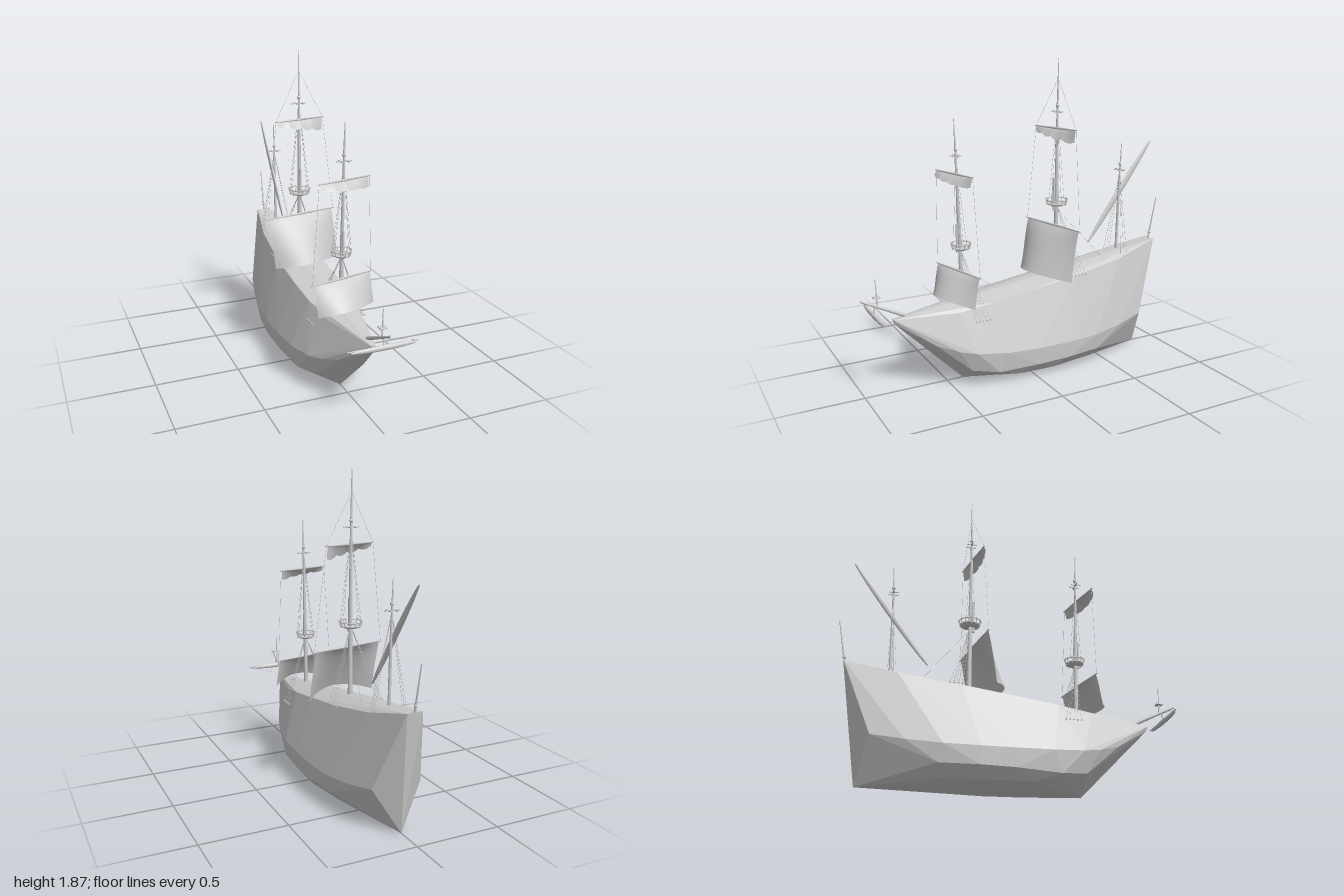
import * as THREE from 'three';
import { ConvexGeometry } from 'three/addons/geometries/ConvexGeometry.js';

const V = (x, y, z) => new THREE.Vector3(x, y, z);

export function createModel() {
  const ship = new THREE.Group();
  ship.name = 'sailingShip';
  const grey = new THREE.MeshStandardMaterial({ color: 0xcccccc, side: THREE.DoubleSide });
  grey.name = 'paleGrey';
  const hullGrey = grey;

  const add = (name, geometry, parent = ship) => {
    const mesh = new THREE.Mesh(geometry, grey);
    mesh.name = name;
    parent.add(mesh);
    return mesh;
  };
  // Tapered rod between two points
  const rod = (name, a, b, ra, rb = ra, sides = 8, parent = ship) => {
    const d = b.clone().sub(a);
    const mesh = add(name, new THREE.CylinderGeometry(rb, ra, d.length(), sides), parent);
    mesh.position.copy(a).addScaledVector(d, 0.5);
    mesh.quaternion.setFromUnitVectors(V(0, 1, 0), d.normalize());
    return mesh;
  };
  const rope = (a, b, r = 0.0009) => rod('rope', a, b, r, r, 3);
  // Yard: thick in the middle, thin at both ends
  const yard = (name, a, b, r) => {
    const mid = a.clone().lerp(b, 0.5);
    rod(name, mid, a, r, r * 0.5);
    rod(name, mid, b, r, r * 0.5);
  };

  // Faceted closed hull: half-section points mirrored across the keel
  const half = [
    [0, 0, 0.4], [0, 0, -0.84], [0.012, 0.44, 0.82], [0.008, 0.41, 0.81],
    [0.045, 0.7, -0.95], [0.045, 0.67, -0.945],
    // widest line
    [0.105, 0.275, 0.6], [0.16, 0.235, 0.48], [0.195, 0.215, 0.38], [0.228, 0.2, 0.2],
    [0.24, 0.195, 0], [0.241, 0.195, -0.2], [0.23, 0.2, -0.4], [0.195, 0.22, -0.6],
    [0.148, 0.25, -0.78],
    // bilge
    [0.15, 0.1, 0.4], [0.205, 0.08, 0.25], [0.232, 0.09, 0], [0.234, 0.095, -0.2], [0.21, 0.1, -0.42],
    [0.18, 0.032, 0.1], [0.185, 0.03, -0.12], [0.15, 0.035, -0.4], [0.09, 0.012, 0], [0.09, 0.012, -0.2],
    // upper side and deck edge
    [0.105, 0.45, 0.45], [0.135, 0.49, 0.25], [0.14, 0.525, 0], [0.135, 0.565, -0.3], [0.105, 0.625, -0.65],
  ];
  const points = [];
  for (const [x, y, z] of half) {
    points.push(V(x, y, z));
    if (x) points.push(V(-x, y, z));
  }
  add('hull', new ConvexGeometry(points)).material = hullGrey;

  // Railed lookout platform
  const lookout = (y, z, r) => {
    const group = new THREE.Group();
    group.name = 'lookout';
    group.position.set(0, y, z);
    ship.add(group);
    add('lookoutFloor', new THREE.CylinderGeometry(r * 0.85, r * 0.6, 0.012, 16), group).position.y = -0.015;
    for (const [h, k] of [[-0.008, 0.88], [0.015, 1]]) {
      const ring = add('lookoutRail', new THREE.TorusGeometry(r * k, 0.0035, 5, 20), group);
      ring.rotation.x = Math.PI / 2;
      ring.position.y = h;
    }
    for (let i = 0; i < 12; i++) {
      const a = i * Math.PI / 6, c = Math.cos(a) * r, s = Math.sin(a) * r;
      rod('lookoutPost', V(c * 0.86, -0.018, s * 0.86), V(c, 0.022, s), 0.003, 0.003, 5, group);
    }
  };
  // Small cross pieces high on a mast
  const crosstree = (y, z, w) => {
    add('crosstree', new THREE.BoxGeometry(w * 2, 0.006, 0.008)).position.set(0, y, z);
    for (const s of [-1, 1]) add('crosstree', new THREE.BoxGeometry(0.006, 0.006, w * 1.3)).position.set(s * w * 0.4, y, z);
    add('mastCap', new THREE.SphereGeometry(0.011, 8, 6)).position.set(0, y + 0.035, z);
  };
  // Masts as stacked sections [y, z, radius]
  const mast = (name, steps) => {
    for (let i = 0; i + 1 < steps.length; i++) {
      const [y0, z0, r0] = steps[i], [y1, z1, r1] = steps[i + 1];
      rod(name, V(0, y0, z0), V(0, y1, z1), r0, r1, 10);
    }
  };
  mast('foreMast', [[0.42, 0.392, 0.013], [0.86, 0.402, 0.011], [1.25, 0.415, 0.007], [1.37, 0.418, 0.006], [1.55, 0.425, 0.002]]);
  mast('mainMast', [[0.52, -0.238, 0.014], [1.06, -0.24, 0.012], [1.45, -0.241, 0.008], [1.6, -0.242, 0.006], [1.87, -0.246, 0.002]]);
  mast('mizzenMast', [[0.6, -0.688, 0.009], [1.0, -0.697, 0.008], [1.18, -0.703, 0.005], [1.34, -0.71, 0.002]]);
  // Doubled mast sections above the platforms
  rod('foreDoubling', V(0, 0.78, 0.418), V(0, 0.95, 0.42), 0.007);
  rod('mainDoubling', V(0, 0.96, -0.222), V(0, 1.16, -0.222), 0.008);
  lookout(0.815, 0.395, 0.058);
  lookout(1.01, -0.242, 0.066);
  crosstree(1.34, 0.417, 0.045);
  crosstree(1.555, -0.242, 0.045);
  crosstree(1.17, -0.702, 0.045);

  // Billowing sail hung below a slewed yard
  const sail = (name, y, z, w, slope, height, edge, belly, droop, shift) => {
    const at = (u) => V(u * w, y, z - u * w * slope);
    yard(name + 'Yard', at(-1.04), at(1.04), 0.007);
    const g = new THREE.PlaneGeometry(2, 1, 24, 10), p = g.attributes.position;
    for (let i = 0; i < p.count; i++) {
      const u = p.getX(i), v = 0.5 - p.getY(i), b = Math.pow(v, 0.8);
      const scallop = Math.abs(Math.sin(u * Math.PI * 2)) * droop * 0.5;
      const drop = height + droop * (u + 0.3) + scallop - 0.03 * (1 - u * u) * (droop ? 0 : 1);
      p.setXYZ(i, u * w * 0.96 + shift * v, y - 0.004 - v * drop, z - u * w * slope + b * (edge + belly * (1 - u * u)));
    }
    g.computeVertexNormals();
    add(name, g);
  };
  sail('foreSail', 0.67, 0.415, 0.2, 0.24, 0.175, 0.035, 0.085, 0, 0.012);
  sail('mainSail', 0.872, -0.215, 0.235, 0.2, 0.3, 0.055, 0.115, 0, 0.018);
  sail('foreTopsail', 1.24, 0.43, 0.165, 0.25, 0.035, 0.012, 0.035, 0.014, 0);
  sail('mainTopsail', 1.46, -0.23, 0.165, 0.25, 0.035, 0.008, 0.03, 0.025, 0);

  // Furled slanting sail at the stern, a long flat lens
  const lateen = add('mizzenSail', new THREE.SphereGeometry(1, 12, 24));
  lateen.scale.set(0.009, 0.386, 0.021);
  lateen.position.set(-0.012, 1.03, -0.71);
  lateen.rotation.x = -Math.atan2(0.46, 0.62);
  rod('mizzenYard', V(-0.012, 0.725, -0.485), V(-0.012, 1.335, -0.937), 0.006, 0.005);

  // Bow spar, its small mast and the cross yard
  rod('bowsprit', V(0, 0.45, 0.74), V(0, 0.575, 1.0), 0.011, 0.006);
  rod('spritMast', V(0, 0.53, 0.905), V(0, 0.69, 0.912), 0.005, 0.002);
  add('spritCrosstree', new THREE.BoxGeometry(0.04, 0.005, 0.04)).position.set(0, 0.585, 0.908);
  const spritSail = add('spritSail', new THREE.SphereGeometry(1, 24, 10));
  spritSail.scale.set(0.19, 0.015, 0.012);
  spritSail.position.set(0, 0.482, 0.928);
  yard('spritYard', V(-0.205, 0.49, 0.925), V(0.205, 0.49, 0.925), 0.006);
  rod('spritSling', V(0, 0.48, 0.928), V(0, 0.54, 0.92), 0.004);

  // Stern flagstaff
  rod('flagstaff', V(0, 0.69, -0.942), V(0, 0.96, -0.995), 0.006, 0.003);
  add('flagstaffBase', new THREE.SphereGeometry(0.01, 8, 6)).position.set(0, 0.735, -0.95);

  // Shrouds, upper shrouds and yard ropes, mirrored
  for (const s of [-1, 1]) {
    for (let i = 0; i < 5; i++) {
      rope(V(0, 0.8, 0.4), V(s * 0.16, 0.39, 0.375 - i * 0.022));
      rope(V(0, 1.0, -0.24), V(s * 0.15, 0.57, -0.27 - i * 0.024));
      add('deadeye', new THREE.SphereGeometry(0.005, 6, 4)).position.set(s * 0.163, 0.4, 0.375 - i * 0.022);
      add('deadeye', new THREE.SphereGeometry(0.005, 6, 4)).position.set(s * 0.15, 0.575, -0.27 - i * 0.024);
    }
    for (let i = 0; i < 3; i++) {
      rope(V(0, 1.16, -0.702), V(s * 0.1, 0.63, -0.66 - i * 0.022));
      rope(V(0, 1.33, 0.417), V(s * 0.05, 0.83, 0.38 + i * 0.02));
      rope(V(0, 1.55, -0.242), V(s * 0.058, 1.02, -0.26 + i * 0.02));
    }
    rope(V(s * 0.165, 1.24, 0.43 - s * 0.04), V(s * 0.2, 0.67, 0.415 - s * 0.048));
    rope(V(s * 0.165, 1.46, -0.23 - s * 0.04), V(s * 0.235, 0.872, -0.215 - s * 0.047));
    rope(V(s * 0.165, 1.46, -0.23 - s * 0.04), V(0, 1.75, -0.245));
    rope(V(s * 0.2, 0.49, 0.925), V(0, 0.46, 0.75));
  }
  rope(V(0, 0.95, -0.26), V(0.1, 0.58, -0.58));
  return ship;
}
